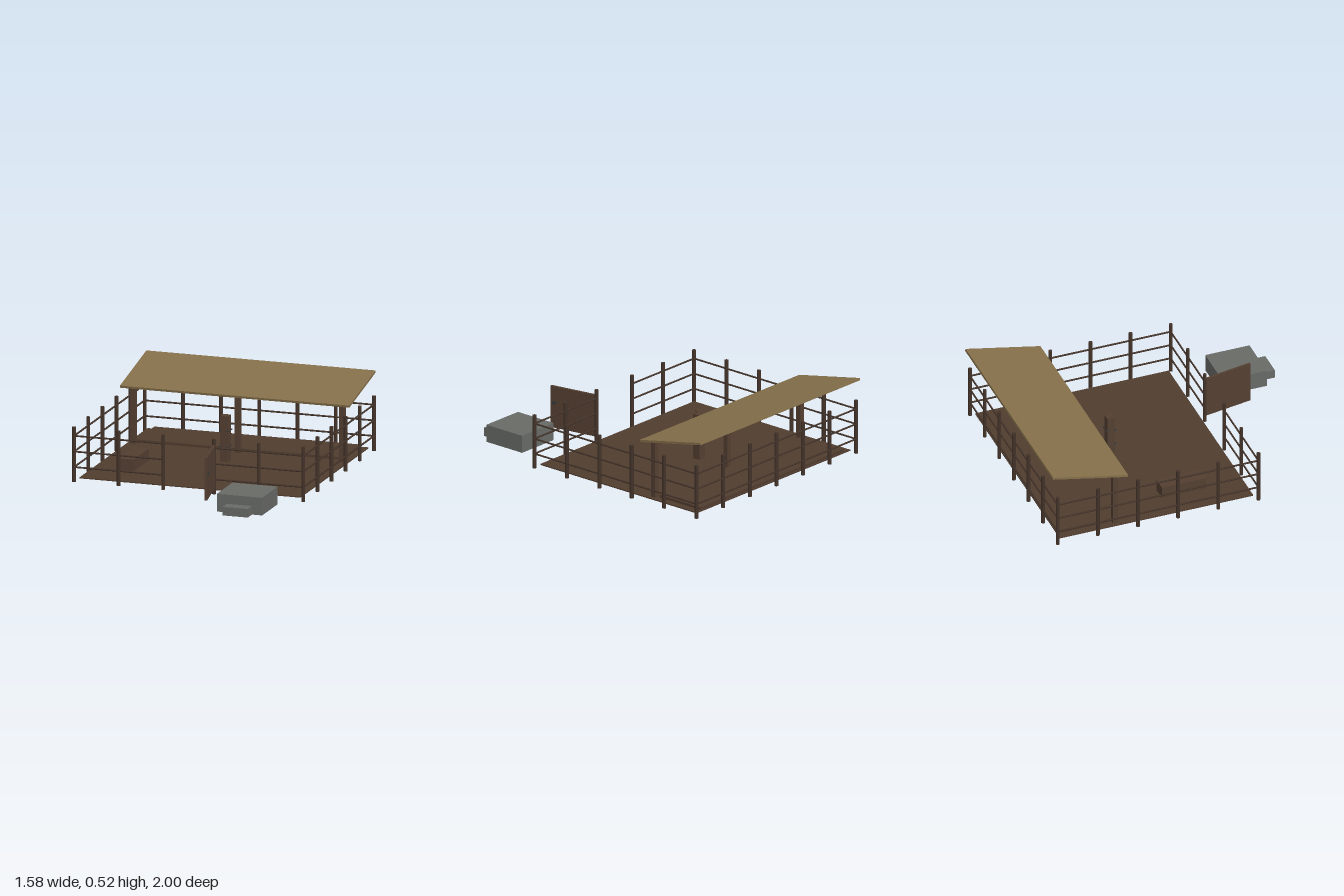
import * as THREE from 'three';

const mat = (name, color) => {
  const m = new THREE.MeshStandardMaterial({ color });
  m.name = name;
  return m;
};

export function createModel() {
  const root = new THREE.Group();
  root.name = 'animalPen';
  const fenceWood = mat('fence wood', 0x44342a);
  const earth = mat('earth brown', 0x503c2e);
  const timber = mat('timber brown', 0x543f31);
  const thatch = mat('straw roof', 0x85704a);
  const stone = mat('stone grey', 0x686a66);
  const iron = mat('dark iron', 0x33383a);

  // Box given by its min and max corners
  function box(name, material, [x0, y0, z0], [x1, y1, z1], parent = root) {
    const mesh = new THREE.Mesh(new THREE.BoxGeometry(x1 - x0, y1 - y0, z1 - z0), material);
    mesh.position.set((x0 + x1) / 2, (y0 + y1) / 2, (z0 + z1) / 2);
    mesh.name = name;
    parent.add(mesh);
    return mesh;
  }

  // Round bar between two points
  const up = new THREE.Vector3(0, 1, 0);
  function bar(name, a, b, radius, parent) {
    const from = new THREE.Vector3(...a), to = new THREE.Vector3(...b);
    const dir = to.clone().sub(from);
    const mesh = new THREE.Mesh(new THREE.CylinderGeometry(radius, radius, dir.length(), 8), fenceWood);
    mesh.position.copy(from).add(to).multiplyScalar(0.5);
    mesh.quaternion.setFromUnitVectors(up, dir.normalize());
    mesh.name = name;
    parent.add(mesh);
  }

  // Fence: runs of evenly spaced posts joined by three rails
  const X = 0.778, FRONT = 0.415, BACK = -0.965;
  const fence = new THREE.Group();
  fence.name = 'fence';
  root.add(fence);
  function run([xa, za], [xb, zb], spans, skipFirst, skipLast) {
    for (let i = skipFirst ? 1 : 0; i <= spans - (skipLast ? 1 : 0); i++) {
      const t = i / spans, x = xa + (xb - xa) * t, z = za + (zb - za) * t;
      bar('fencePost', [x, 0, z], [x, 0.363, z], 0.013, fence);
    }
    for (const y of [0.097, 0.2, 0.304]) bar('fenceRail', [xa, y, za], [xb, y, zb], 0.006, fence);
  }
  run([-X, BACK], [X, BACK], 6, false, false);
  run([-X, BACK], [-X, FRONT], 5, true, false);
  run([X, BACK], [X, FRONT], 5, true, false);
  run([-X, FRONT], [-0.173, FRONT], 2, true, false);
  run([X, FRONT], [0.173, FRONT], 2, true, false);

  // Ground slab and raised bedding under the shelter
  box('floor', earth, [-0.75, 0.018, -0.94], [0.75, 0.025, 0.39]);
  box('bedding', earth, [-0.7, 0.025, -0.93], [0.7, 0.042, -0.58]);

  // Shelter: three posts and a sloping roof that rises to the back
  for (const x of [-0.709, 0, 0.709]) {
    box('shelterPost', timber, [x - 0.017, 0.022, -0.565], [x + 0.017, 0.412, -0.53]);
  }
  const roof = box('roof', thatch, [-X, 0.455, -1.003], [X, 0.47, -0.477]);
  roof.rotation.x = 0.205;

  // Feeding trough
  box('trough', timber, [-0.572, 0.022, -0.168], [-0.472, 0.104, 0.137]);

  // Tethering post with iron fittings at its corners
  box('tetherPost', timber, [-0.027, 0.022, -0.333], [0.027, 0.33, -0.279]);
  for (const y of [0.128, 0.232]) {
    for (const sx of [-1, 1]) for (const sz of [-1, 1]) {
      const x = sx * 0.026, z = -0.306 + sz * 0.026;
      box('ironFitting', iron, [x - 0.008, y - 0.003, z - 0.008], [x + 0.008, y + 0.003, z + 0.008]);
    }
  }

  // Open gate swung outwards on its hinge post
  const gate = new THREE.Group();
  gate.name = 'gate';
  gate.position.set(0.173, 0, FRONT);
  gate.rotation.y = Math.atan2(0.06, 0.335);
  root.add(gate);
  box('gatePanel', timber, [-0.008, 0.043, 0], [0.008, 0.327, 0.34], gate);
  box('gateLatch', iron, [0.008, 0.205, 0.3], [0.014, 0.225, 0.325], gate);

  // Stone block with a step
  box('stoneBlock', stone, [0.365, 0.023, 0.612], [0.673, 0.14, 0.916]);
  box('stoneStep', stone, [0.433, 0.023, 0.916], [0.604, 0.08, 0.998]);

  return root;
}
